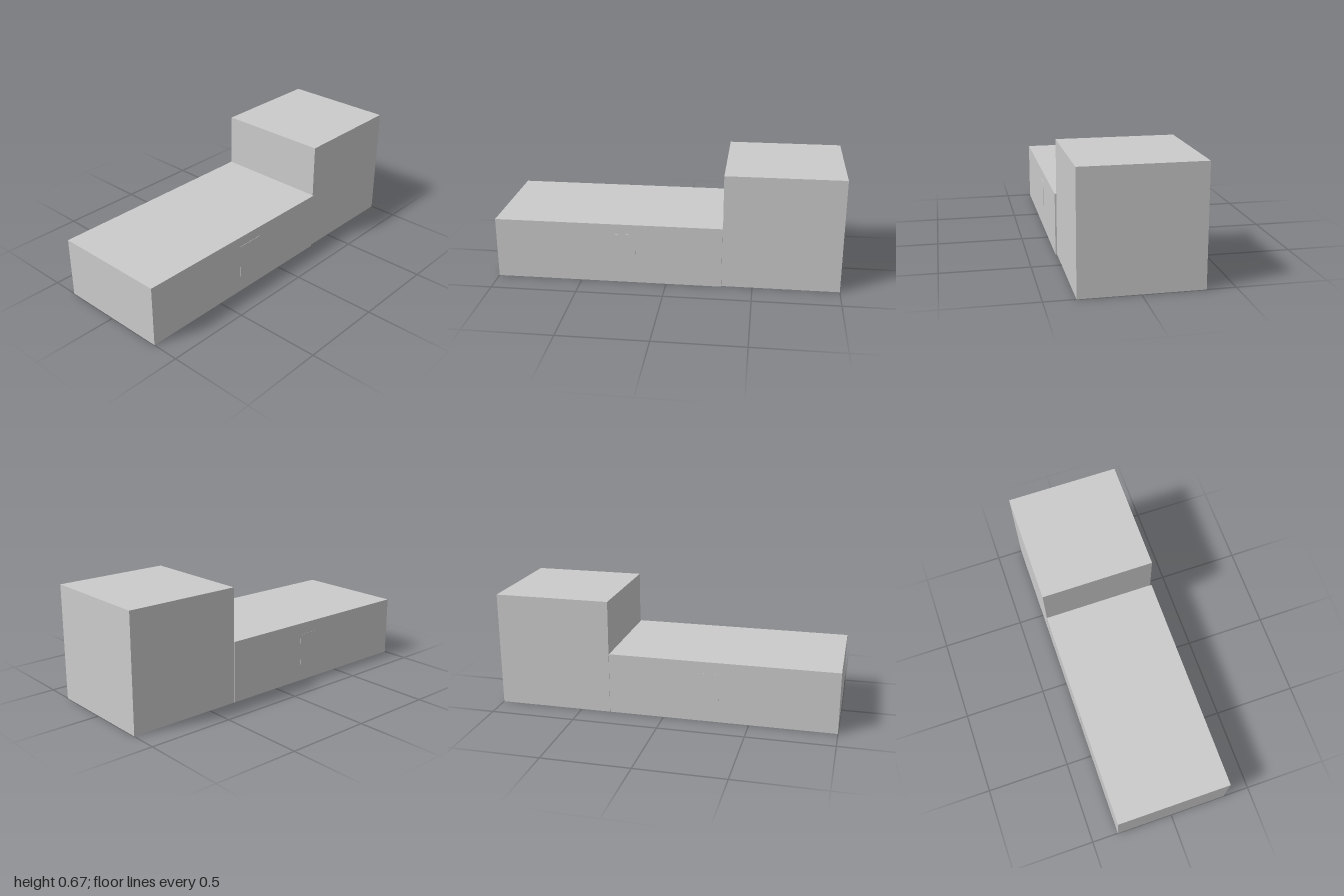
import * as THREE from 'three';

const material = new THREE.MeshStandardMaterial({ color: 0xcccccc, flatShading: true });

// Box given by its minimum and maximum corners
function block(name, [x0, y0, z0], [x1, y1, z1]) {
  const mesh = new THREE.Mesh(new THREE.BoxGeometry(x1 - x0, y1 - y0, z1 - z0), material);
  mesh.name = name;
  mesh.position.set((x0 + x1) / 2, (y0 + y1) / 2, (z0 + z1) / 2);
  return mesh;
}

export function createModel() {
  const model = new THREE.Group();
  model.name = 'steppedBuilding';

  // Long low wing and the taller block at its end
  model.add(block('lowWing', [-1, 0, -0.341], [0.322, 0.36, 0.34]));
  model.add(block('tallBlock', [0.325, 0, -0.341], [1, 0.673, 0.331]));

  // Narrow joint closing the seam between the two volumes
  model.add(block('joint', [0.322, 0, -0.338], [0.325, 0.357, 0.328]));

  // Shallow raised panels on the long walls
  model.add(block('frontPanel', [-0.335, 0.1, 0.335], [-0.175, 0.3, 0.342]));
  model.add(block('backPanel', [-0.325, 0.09, -0.342], [-0.2, 0.29, -0.335]));

  return model;
}
